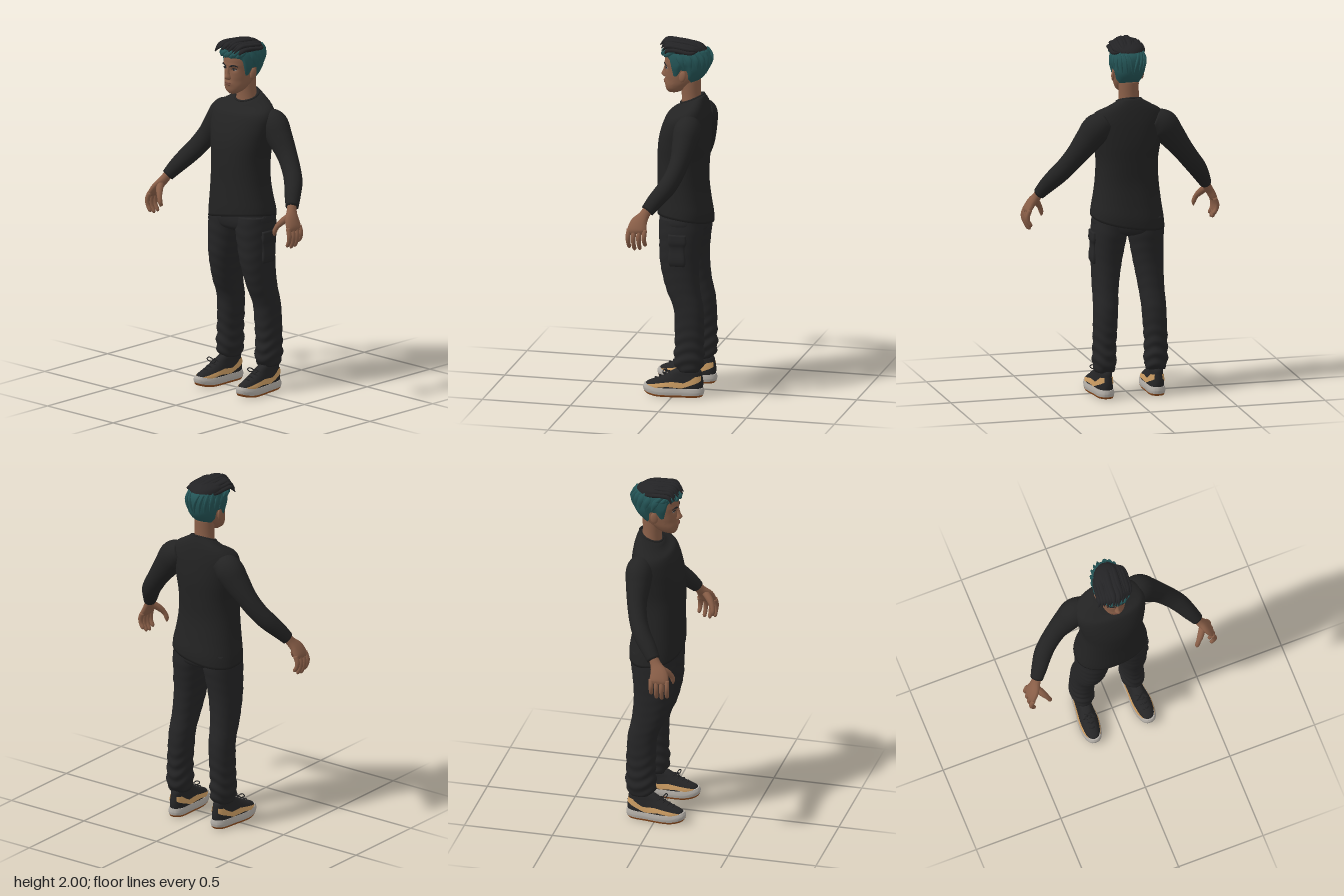
import * as THREE from 'three';
import { toCreasedNormals } from 'three/addons/utils/BufferGeometryUtils.js';

const V = (x, y, z) => new THREE.Vector3(x, y, z);
const mat = (name, color) => {
  const m = new THREE.MeshStandardMaterial({ color, side: THREE.DoubleSide });
  m.name = name;
  return m;
};

// Triangles for stacked rings of points; closed rings are capped at both ends.
function skin(rings, closed = true) {
  const n = rings[0].length, idx = [], pts = rings.flat();
  for (let i = 0; i < rings.length - 1; i++)
    for (let j = 0; j < (closed ? n : n - 1); j++) {
      const k = (j + 1) % n, a = i * n + j, b = i * n + k;
      idx.push(a, b, b + n, a, b + n, a + n);
    }
  if (closed) [0, rings.length - 1].forEach((r, end) => {
    const mid = rings[r].reduce((s, p) => s.add(p), V(0, 0, 0)).divideScalar(n);
    pts.push(mid);
    for (let j = 0; j < n; j++) {
      const a = r * n + j, b = r * n + (j + 1) % n;
      idx.push(pts.length - 1, end ? a : b, end ? b : a);
    }
  });
  const g = new THREE.BufferGeometry().setFromPoints(pts);
  g.setIndex(idx);
  g.computeVertexNormals();
  return g;
}

// Smooth surface through horizontal sections [centreX, y, frontZ, backZ, halfWidth].
function body(rows, pow = 2) {
  const f = new THREE.CubicInterpolant(new Float32Array(rows.map(r => r[1])),
    new Float32Array(rows.flatMap(r => [r[0], r[2], r[3], r[4]])), 4);
  const e = q => Math.sign(q) * Math.abs(q) ** (2 / pow);
  const at = (a, y, off = 0) => {
    const [cx, zf, zb, rx] = f.evaluate(y);
    return V(cx + e(Math.sin(a)) * (rx + off), y, (zf + zb) / 2 + e(Math.cos(a)) * ((zf - zb) / 2 + off));
  };
  return { at, y0: rows[0][1], y1: rows[rows.length - 1][1] };
}
function loft(rows, { n = 40, m = 24, pow = 2, warp } = {}) {
  const s = body(rows, pow), rings = [];
  for (let i = 0; i <= m; i++) {
    const ring = [];
    for (let j = 0; j < n; j++) {
      const a = j / n * Math.PI * 2, p = s.at(a, s.y0 + (s.y1 - s.y0) * i / m);
      if (warp) warp(p, a);
      ring.push(p);
    }
    rings.push(ring);
  }
  return skin(rings);
}
// Thin panel lying on a body between two heights that vary with angle.
function panel(s, a0, a1, lo, hi, off, n = 40, m = 8) {
  const rings = [];
  for (let i = 0; i <= m; i++)
    rings.push(Array.from({ length: n + 1 }, (_, j) => {
      const a = a0 + (a1 - a0) * j / n;
      return s.at(a, lo(a) + (hi(a) - lo(a)) * i / m, off(i / m));
    }));
  return skin(rings, false);
}
// Limb through points [x, y, z, radius along ref, other radius].
function limb(pts, { ref = V(0, 0, 1), n = 16, m = 20 } = {}) {
  const c = new THREE.CatmullRomCurve3(pts.map(p => V(p[0], p[1], p[2])));
  const r = new THREE.CubicInterpolant(new Float32Array(pts.map((_, i) => i)),
    new Float32Array(pts.flatMap(p => [p[3], p[4] ?? p[3]])), 2);
  const rings = [];
  for (let i = 0; i <= m; i++) {
    const t = i / m, o = c.getPoint(t), d = c.getTangent(t);
    const u = ref.clone().addScaledVector(d, -ref.dot(d)).normalize(), v = d.clone().cross(u);
    const [ru, rv] = r.evaluate(t * (pts.length - 1));
    rings.push(Array.from({ length: n }, (_, j) => {
      const a = j / n * Math.PI * 2;
      return o.clone().addScaledVector(u, ru * Math.cos(a)).addScaledVector(v, rv * Math.sin(a));
    }));
  }
  return skin(rings);
}
const graph = pts => {
  const f = new THREE.LinearInterpolant(new Float32Array(pts.map(p => p[0])), new Float32Array(pts.map(p => p[1])), 1);
  return a => f.evaluate(Math.abs(a))[0];
};

export function createModel() {
  const M = {
    shirt: mat('shirt black', 0x232323), pants: mat('trouser black', 0x252526),
    hair: mat('hair black', 0x232325), teal: mat('hair teal', 0x245557),
    skin: mat('skin', 0x8a5f48), lips: mat('lips', 0x744a3c), eye: mat('eye white', 0xa89c94),
    sole: mat('sole grey', 0xb2ada6), tan: mat('shoe tan', 0xcb9c62), out: mat('outsole brown', 0x95501f),
  };
  const model = new THREE.Group();
  const add = (name, geo, m, parent = model) => {
    const mesh = new THREE.Mesh(geo, m);
    mesh.name = name;
    parent.add(mesh);
    return mesh;
  };
  const ball = (name, m, x, y, z, sx, sy, sz) => {
    const b = add(name, new THREE.SphereGeometry(1, 20, 14), m);
    b.position.set(x, y, z);
    b.scale.set(sx, sy, sz);
    return b;
  };

  // Shirt with slanted hem and a collar that dips at the front
  add('shirt', loft([[0, .985, .118, -.178, .207], [0, 1.03, .12, -.178, .202], [0, 1.1, .12, -.165, .19], [0, 1.2, .12, -.153, .177],
    [0, 1.32, .122, -.158, .172], [0, 1.43, .115, -.166, .187], [0, 1.52, .092, -.165, .2], [0, 1.58, .066, -.16, .197],
    [0, 1.62, .04, -.152, .168], [0, 1.648, .015, -.142, .115], [0, 1.67, -.002, -.133, .074]], {
    n: 64, m: 48, pow: 2.3, warp: p => {
      const hem = THREE.MathUtils.clamp((1.2 - p.y) / .2, 0, 1), top = THREE.MathUtils.smoothstep(p.y, 1.58, 1.67);
      p.y += hem * (p.x * .17 + p.z * .15) - top * (p.z + .08) * .42;
    } }), M.shirt);
  const collar = add('collar', new THREE.TorusGeometry(1, .09, 8, 40), M.shirt);
  collar.position.set(0, 1.666, -.067);
  collar.rotation.x = Math.PI / 2 + .4;
  collar.scale.set(.07, .068, .07);

  // Neck and head
  add('neck', loft([[0, 1.59, -.005, -.13, .068], [0, 1.68, -.008, -.115, .057], [0, 1.78, .0, -.115, .056]]), M.skin);
  const headRows = [[0, 1.695, .068, .015, .022], [0, 1.71, .079, -.02, .044], [0, 1.74, .086, -.06, .062], [0, 1.78, .085, -.11, .072],
    [0, 1.82, .083, -.137, .078], [0, 1.86, .087, -.15, .081], [0, 1.9, .085, -.154, .081], [0, 1.94, .07, -.145, .072], [0, 1.975, .035, -.1, .042]];
  const dent = (p, x, y, sx, sy) => Math.exp(-(((Math.abs(p.x) - x) / sx) ** 2) - ((p.y - y) / sy) ** 2);
  add('head', loft(headRows, { n: 72, m: 56, pow: 2.2, warp: p => {
    if (p.z > .03) p.z += .006 * dent(p, 0, 1.757, .026, .012) - .01 * dent(p, .034, 1.838, .016, .012)
      + .004 * dent(p, .03, 1.862, .03, .008) - .004 * dent(p, .055, 1.765, .02, .025);
  } }), M.skin);
  add('nose', loft([[0, 1.776, .086, .06, .012], [0, 1.783, .1, .06, .019], [0, 1.793, .109, .06, .018], [0, 1.815, .1, .06, .011],
    [0, 1.85, .09, .06, .009], [0, 1.87, .086, .06, .01]], { n: 24 }), M.skin);
  ball('upperLip', M.lips, 0, 1.7605, .0875, .024, .0045, .007);
  ball('lowerLip', M.lips, 0, 1.752, .087, .02, .005, .007);
  for (const s of [-1, 1]) {
    ball('eye', M.eye, s * .034, 1.837, .068, .014, .0065, .0075);
    ball('iris', M.hair, s * .034, 1.837, .0735, .006, .006, .0035);
    add('eyelid', limb([[s * .018, 1.838, .076, .002], [s * .034, 1.845, .076, .003], [s * .051, 1.839, .066, .002]], { n: 8 }), M.hair);
    add('eyebrow', limb([[s * .014, 1.855, .087, .003, .004], [s * .036, 1.864, .083, .003, .005], [s * .06, 1.857, .067, .002, .002]], { n: 8 }), M.hair);
    const ear = ball('ear', M.skin, s * .081, 1.805, -.03, .01, .032, .02);
    ear.rotation.set(-.2, s * -.3, 0);
  }

  // Teal sides and back of the hair, ending in a hairline with sideburns
  const head = body(headRows, 2.2);
  const hairline = graph([[0, 1.905], [.7, 1.905], [.95, 1.89], [1.15, 1.805], [1.35, 1.8], [1.5, 1.84], [1.75, 1.84], [1.95, 1.79], [2.4, 1.762], [3.2, 1.755]]);
  add('hairSides', panel(head, -Math.PI, Math.PI, hairline, () => 1.96, v => .003 + .011 * Math.min(1, v * 3), 96, 12), M.teal);
  for (let i = 0; i < 13; i++) {
    const a = -1.1 + i * .183, w = i % 2 * .008;
    const p = head.at(a, 1.945, .012), q = head.at(a - .22, 1.925 - w, .02), r = head.at(a - .42, 1.905 + w, .013);
    add('fringeLock', limb([[...p, .012], [...q, .012, .009], [...r, .002]], { n: 8, m: 10, ref: V(0, 1, .2) }), M.teal);
  }
  for (const s of [-1, 1]) for (let i = 0; i < 6; i++) {
    const p = head.at(s * (1.3 + i * .3), 1.945, .01), q = head.at(s * (1.5 + i * .3), 1.9, .013), r = head.at(s * (1.65 + i * .3), 1.85 - i * .008, .01);
    add('sideLock', limb([[...p, .014, .006], [...q, .018, .007], [...r, .003]], { n: 8, m: 10, ref: V(0, 0, 1) }), M.teal);
  }
  // Black swept top
  add('hairTop', loft([[0, 1.935, .084, -.152, .09], [0, 1.955, .092, -.145, .088], [0, 1.975, .075, -.12, .074], [0, 1.988, .03, -.08, .035]], { m: 10 }), M.hair);
  for (let i = 0; i < 13; i++) {
    const x = -.088 + i * .0145, k = Math.abs(x) / .09, h = 1.985 - .035 * k * k + (i % 3) * .003;
    add('topLock', limb([[x * .5 + .025, 1.95, -.145 + .04 * k, .006], [x * .9 + .012, h - .01, -.08, .016, .01], [x, h, .01, .018, .011],
      [x - .006, h - .005 + (i % 2) * .004, .085 - .03 * k, .015, .011], [x - .022, h - .034, .118 - .045 * k + (i % 2) * .008, .002]],
      { n: 8, m: 18, ref: V(1, 0, -.2) }), M.hair);
  }

  for (const s of [-1, 1]) {
    // Sleeve
    add('sleeve', limb([[.13, 1.555, -.085, .06, .06], [.185, 1.525, -.085, .075, .083], [.235, 1.462, -.08, .068, .076], [.3, 1.378, -.07, .054, .061],
      [.36, 1.3, -.045, .05, .055], [.402, 1.248, -.015, .05, .052], [.442, 1.19, .032, .045, .044], [.474, 1.138, .07, .037, .034]]
      .map(p => [p[0] * s, ...p.slice(1)]), { n: 28, m: 40 }), M.shirt);
    // Hand with curled fingers
    const hand = new THREE.Group();
    hand.name = 'hand';
    model.add(hand);
    const digit = (name, pts) => add(name, limb(pts.map(p => [p[0] * s, ...p.slice(1)]), { n: 12, m: 18 }), M.skin, hand);
    digit('palm', [[.468, 1.15, .065, .027, .025], [.486, 1.115, .085, .031, .024], [.51, 1.078, .107, .048, .023], [.53, 1.04, .115, .053, .02], [.537, 1.022, .115, .042, .01]]);
    for (let i = 0; i < 4; i++) {
      const z = .159 - i * .03, l = [.092, .104, .1, .078][i];
      digit('finger', [[.528, 1.045, z, .013], [.541, 1.032 - l * .3, z + .003, .014], [.538, 1.032 - l * .65, z + .002, .012],
        [.524, 1.032 - l * .95, z, .0105], [.52, 1.03 - l * 1.02, z, .004]]);
    }
    digit('thumb', [[.495, 1.1, .105, .02], [.468, 1.068, .142, .019], [.447, 1.038, .163, .014], [.436, 1.008, .17, .0125], [.434, .985, .17, .004]]);

    // Trouser leg with gathered folds near the cuff
    add('trouserLeg', loft([[.146, .145, -.025, -.145, .052], [.147, .17, -.008, -.162, .06], [.147, .3, -.006, -.168, .062], [.142, .4, -.004, -.168, .065],
      [.137, .5, .004, -.162, .067], [.131, .6, .045, -.142, .07], [.119, .75, .083, -.133, .082], [.11, .85, .09, -.142, .092],
      [.103, .93, .094, -.152, .099], [.1, 1.01, .092, -.15, .095]].map(r => [r[0] * s, ...r.slice(1)]), {
      n: 48, m: 90, pow: 2.2, warp: (p, a) => {
        const f = THREE.MathUtils.clamp((.46 - p.y) / .2, .12, 1), k = 1 + .055 * f * Math.sin(p.y * 95 + 2.2 * Math.sin(a * 2 + s) + s);
        p.x = s * .145 + (p.x - s * .145) * k;
        p.z = -.08 + (p.z + .08) * k;
      } }), M.pants);

    // Shoe
    const shoe = new THREE.Group();
    shoe.name = 'shoe';
    shoe.position.x = s * .153;
    shoe.rotation.y = s * .06;
    model.add(shoe);
    const toe = p => {
      p.y += 1.8 * Math.max(0, p.z - .07) ** 2 + .6 * Math.max(0, -.11 - p.z) ** 2;
      p.x *= 1 - .16 * Math.exp(-(((p.z + .05) / .07) ** 2));
    };
    const slab = (rows, m) => toCreasedNormals(loft(rows, { n: 56, m, pow: 2.5, warp: toe }), .9);
    add('outsole', slab([[0, 0, .158, -.158, .054], [0, .006, .165, -.163, .058], [0, .012, .168, -.166, .059]], 3), M.out, shoe);
    add('midsole', slab([[0, .012, .168, -.167, .06], [0, .03, .172, -.17, .062], [0, .05, .164, -.166, .057]], 6), M.sole, shoe);
    const upperRows = [[0, .04, .16, -.16, .056], [0, .06, .152, -.164, .055], [0, .08, .125, -.165, .051], [0, .1, .085, -.163, .047],
      [0, .12, .045, -.159, .043], [0, .14, .012, -.155, .041], [0, .155, -.015, -.145, .037]];
    add('shoeUpper', loft(upperRows, { n: 48, m: 20, pow: 2.3, warp: toe }), M.pants, shoe);
    const upper = body(upperRows, 2.3);
    const lo = graph([[.5, .05], [.95, .048], [1.4, .06], [1.8, .052], [2.2, .075], [2.75, .095]]);
    const hi = graph([[.5, .054], [.95, .075], [1.4, .088], [1.8, .082], [2.2, .118], [2.75, .122]]);
    for (const k of [-1, 1]) {
      const g = panel(upper, k * .5, k * 2.75, lo, hi, () => .003);
      const p = g.attributes.position, v = V(0, 0, 0);
      for (let i = 0; i < p.count; i++) {
        v.fromBufferAttribute(p, i);
        toe(v);
        p.setXYZ(i, v.x + k * .001, v.y, v.z);
      }
      if (k < 0) g.setIndex([...g.index.array].reverse());
      g.computeVertexNormals();
      add('sidePanel', g, M.tan, shoe);
      add('laceLoop', limb([[0, .135, .035, .003], [k * .022, .15, .05, .003], [k * .034, .14, .055, .003], [k * .02, .128, .05, .003], [0, .133, .036, .003]], { n: 6, ref: V(.1, .3, 1) }), M.pants, shoe);
    }
    for (let i = 0; i < 4; i++) {
      const y = .093 + i * .013, z = .1 - i * .025;
      add('lace', limb([[-.026, y - .01, z - .01, .004], [0, y + .006, z + .004, .004], [.026, y - .01, z - .01, .004]], { n: 6, m: 10 }), M.pants, shoe);
    }
  }

  // Seat of the trousers and the side pocket on the left leg
  add('trouserSeat', loft([[0, .905, .03, -.1, .06], [0, .925, .075, -.145, .14], [0, .96, .095, -.158, .192], [0, 1.05, .095, -.15, .185]], { m: 14, pow: 2.4 }), M.pants);
  add('cargoPocket', loft([[.19, .75, .012, -.072, .014], [.192, .765, .018, -.076, .019], [.19, .87, .018, -.076, .018], [.19, .875, .02, -.08, .021], [.192, .93, .02, -.078, .018]], { m: 20, pow: 5 }), M.pants);
  return model;
}
